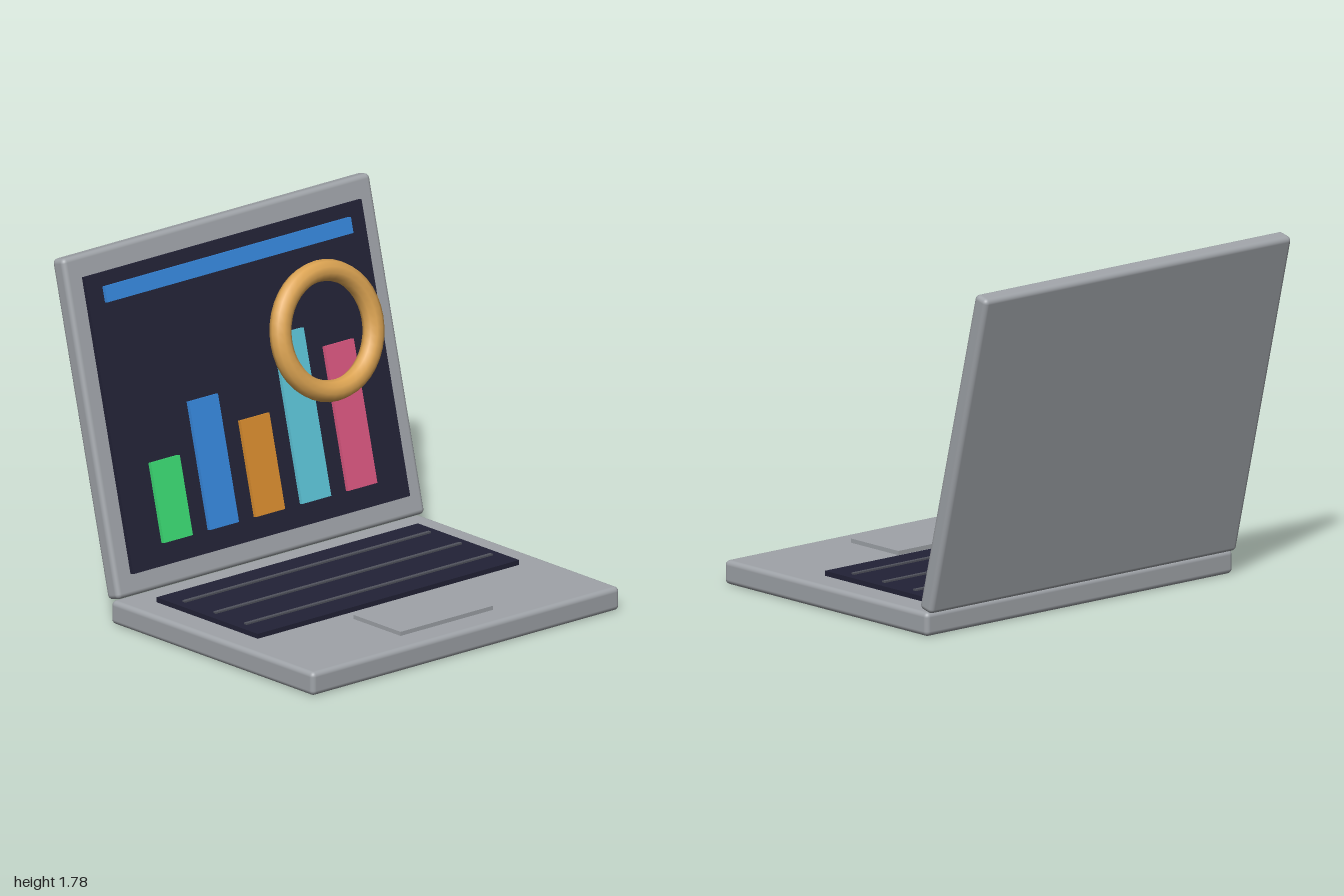
import * as THREE from 'three';
import { RoundedBoxGeometry } from 'three/addons/geometries/RoundedBoxGeometry.js';

const mat = (name, color) => {
  const m = new THREE.MeshStandardMaterial({ color });
  m.name = name;
  return m;
};

export function createModel() {
  const grey = mat('casing grey', 0x9fa3a8);
  const navy = mat('dark navy', 0x222236);
  const slate = mat('key row slate', 0x50525c);
  const blue = mat('blue', 0x3687db);
  const green = mat('green', 0x3ad972);
  const orange = mat('orange', 0xd88c2e);
  const cyan = mat('cyan', 0x5cc4d8);
  const pink = mat('pink', 0xd9567f);
  const gold = mat('gold', 0xdba352);

  const add = (parent, name, geometry, material, x, y, z) => {
    const mesh = new THREE.Mesh(geometry, material);
    mesh.name = name;
    mesh.position.set(x, y, z);
    parent.add(mesh);
    return mesh;
  };
  const box = (w, h, d) => new THREE.BoxGeometry(w, h, d);

  const model = new THREE.Group();
  model.name = 'laptop';

  // Base with keyboard and touchpad
  const base = new THREE.Group();
  base.name = 'base';
  model.add(base);
  add(base, 'baseCasing', new RoundedBoxGeometry(2, 0.12, 1.49, 3, 0.025), grey, 0, 0.06, 0.215);
  add(base, 'keyboard', box(1.7, 0.03, 0.745), navy, 0, 0.13, 0.013);
  for (const z of [-0.215, 0.012, 0.238]) {
    add(base, 'keyRow', box(1.6, 0.02, 0.02), slate, 0, 0.143, z);
  }
  add(base, 'touchpad', box(0.6, 0.03, 0.348), grey, 0, 0.126, 0.64);

  // Lid leaning back, built around its own centre
  const lid = new THREE.Group();
  lid.name = 'lid';
  lid.position.set(0, 0.95, -0.717);
  lid.rotation.x = -THREE.MathUtils.degToRad(14);
  model.add(lid);
  add(lid, 'lidCasing', new RoundedBoxGeometry(2, 1.7, 0.09, 3, 0.025), grey, 0, 0, 0);
  add(lid, 'screen', box(1.8, 1.48, 0.03), navy, 0, -0.002, 0.052);
  add(lid, 'titleBar', box(1.6, 0.08, 0.025), blue, 0, 0.631, 0.074);

  // Bar chart standing on a common baseline
  const bars = [[0.4, green], [0.64, blue], [0.48, orange], [0.84, cyan], [0.72, pink]];
  bars.forEach(([h, material], i) => {
    add(lid, 'chartBar', box(0.188, h, 0.025), material, -0.6 + i * 0.3, -0.632 + h / 2, 0.074);
  });

  // Ring chart in front of the screen
  add(lid, 'ringChart', new THREE.TorusGeometry(0.296, 0.054, 10, 40), gold, 0.497, 0.17, 0.133);

  return model;
}
